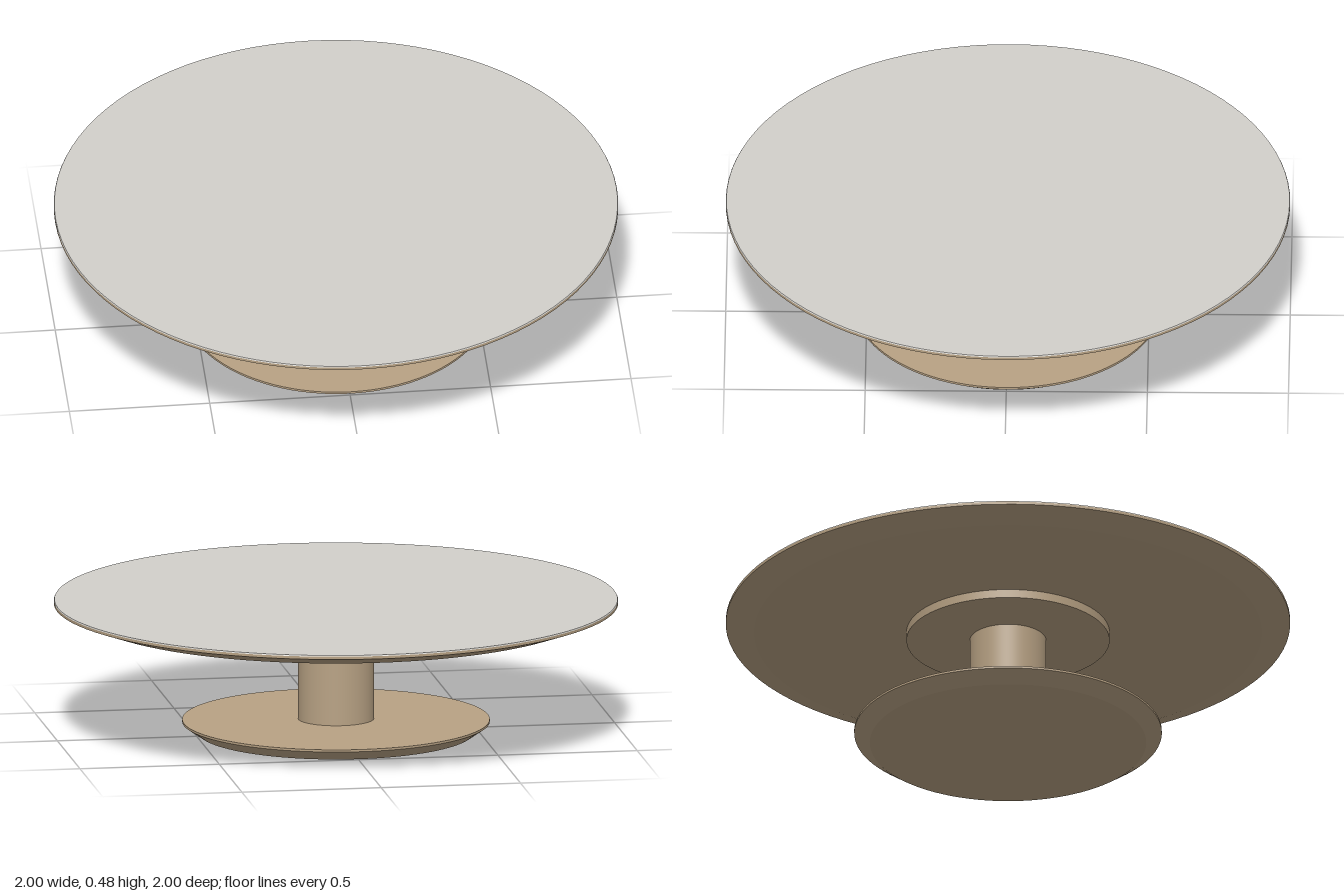
import * as THREE from 'three';
import { mergeGeometries } from 'three/addons/utils/BufferGeometryUtils.js';

// Turned solid: one lathe band per profile segment, smooth around and crisp at each edge.
// Profile points are [radius, y], running from the bottom centre outward and up.
function turned(profile) {
  const bands = [];
  for (let i = 0; i < profile.length - 1; i++) {
    const pair = [profile[i], profile[i + 1]].map(([r, y]) => new THREE.Vector2(r, y));
    bands.push(new THREE.LatheGeometry(pair, 96));
  }
  return mergeGeometries(bands);
}

export function createModel() {
  const wood = new THREE.MeshStandardMaterial({ color: 0xb8a284 });
  wood.name = 'tan wood';
  const surface = new THREE.MeshStandardMaterial({ color: 0xd2d0cb });
  surface.name = 'pale grey top';

  const model = new THREE.Group();
  model.name = 'pedestalTable';
  const add = (name, profile, material) => {
    const mesh = new THREE.Mesh(turned(profile), material);
    mesh.name = name;
    model.add(mesh);
  };

  // Foot disc, bevelled inward toward the floor
  add('base', [[0, 0], [0.49, 0], [0.545, 0.038], [0.545, 0.046], [0, 0.05]], wood);
  // Central post
  add('column', [[0.135, 0.048], [0.135, 0.402]], wood);
  // Round plate carrying the top
  add('mountingPlate', [[0, 0.4], [0.36, 0.4], [0.36, 0.432]], wood);
  // Table top body with a bevelled underside and thin vertical rim
  add('tableTop', [[0, 0.431], [0.9, 0.431], [1, 0.466], [1, 0.476]], wood);
  // Thin inlaid surface
  add('topSurface', [[1, 0.476], [0.998, 0.48], [0, 0.48]], surface);

  return model;
}
